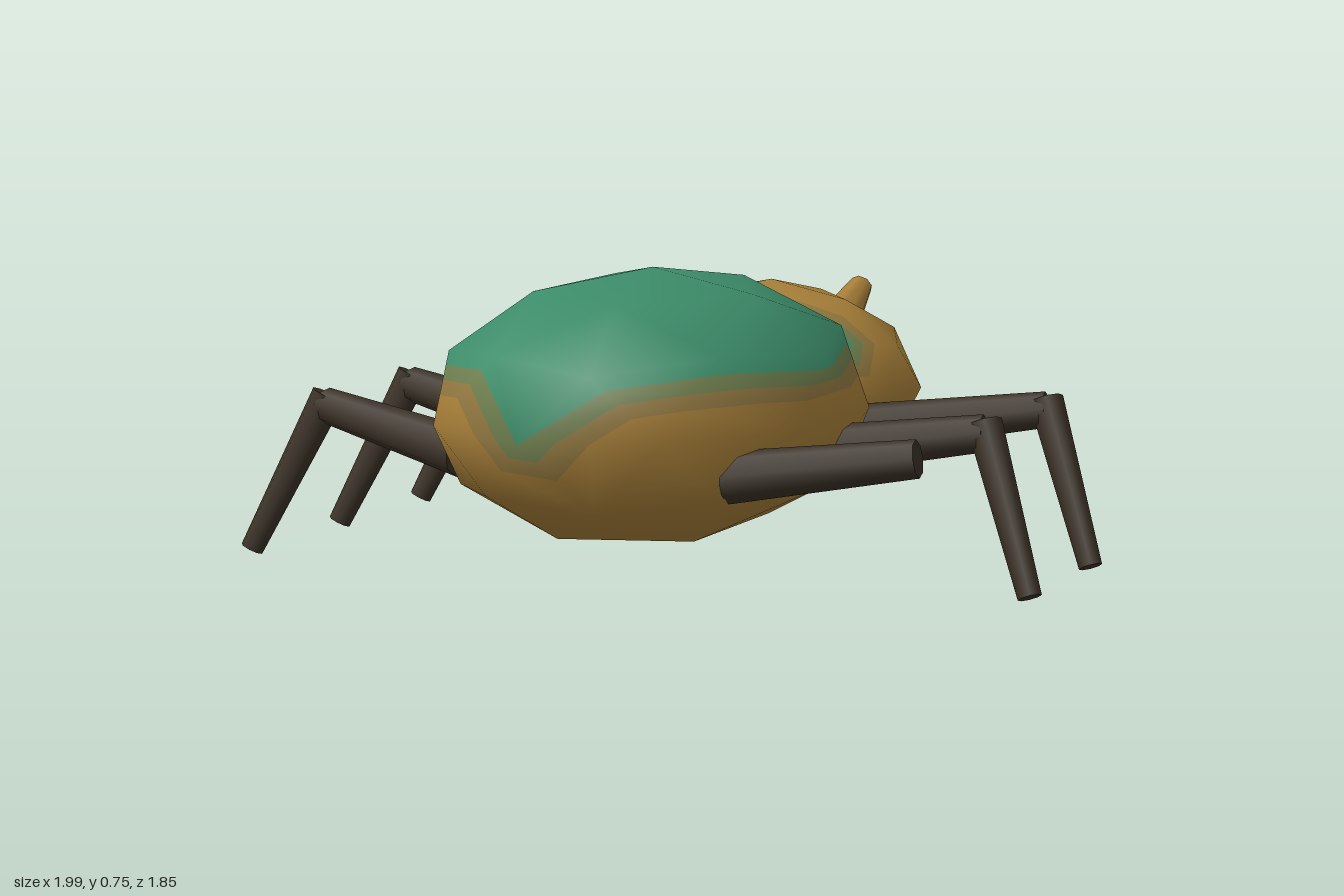
import * as THREE from 'three';

const V = (x, y, z) => new THREE.Vector3(x, y, z);
const material = (name, color) => {
  const m = new THREE.MeshStandardMaterial({ color });
  m.name = name;
  return m;
};

// Keep the part of a polygon whose shade lies above (sign 1) or below (sign -1) a limit
function clip(poly, limit, sign) {
  const out = [];
  poly.forEach((a, i) => {
    const b = poly[(i + 1) % poly.length];
    const da = sign * (a.g - limit), db = sign * (b.g - limit);
    if (da >= 0) out.push(a);
    if (da * db < 0) {
      const t = da / (da - db);
      out.push({ p: a.p.clone().lerp(b.p, t), n: a.n.clone().lerp(b.n, t).normalize(), g: a.g + (b.g - a.g) * t });
    }
  });
  return out;
}

// Low-poly ellipsoid cut into colour bands; shade(direction) gives 0..1 at each corner
function shell(name, center, radii, shade, bands) {
  const group = new THREE.Group();
  group.name = name;
  const geo = new THREE.IcosahedronGeometry(1, 1);
  geo.rotateZ(-Math.atan(2 / (1 + Math.sqrt(5)))); // a corner at the top
  const pos = geo.attributes.position;
  const corners = [];
  for (let i = 0; i < pos.count; i++) {
    const d = V(0, 0, 0).fromBufferAttribute(pos, i).normalize();
    corners.push({ p: d.clone().multiply(radii).add(center), n: d.clone().divide(radii).normalize(), g: shade(d) });
  }
  for (const { low, high, mat } of bands) {
    const p = [], n = [];
    for (let i = 0; i < corners.length; i += 3) {
      const poly = clip(clip(corners.slice(i, i + 3), low, 1), high, -1);
      for (let k = 1; k < poly.length - 1; k++) {
        for (const c of [poly[0], poly[k], poly[k + 1]]) {
          p.push(...c.p.toArray());
          n.push(...c.n.toArray());
        }
      }
    }
    if (!p.length) continue;
    const band = new THREE.BufferGeometry();
    band.setAttribute('position', new THREE.Float32BufferAttribute(p, 3));
    band.setAttribute('normal', new THREE.Float32BufferAttribute(n, 3));
    const mesh = new THREE.Mesh(band, mat);
    mesh.name = `${name} ${mat.name}`;
    group.add(mesh);
  }
  return group;
}

// Tapered rod between two points
function rod(name, a, b, ra, rb, mat) {
  const dir = b.clone().sub(a);
  const mesh = new THREE.Mesh(new THREE.CylinderGeometry(rb, ra, dir.length(), 8), mat);
  mesh.name = name;
  mesh.position.copy(a).add(b).multiplyScalar(0.5);
  mesh.quaternion.setFromUnitVectors(V(0, 1, 0), dir.normalize());
  return mesh;
}

export function createModel() {
  const model = new THREE.Group();
  model.name = 'beetle';
  const gold = material('gold shell', 0xa67e38);
  const green = material('green wing case', 0x3c8c69);
  const olive = material('olive edge', 0x6c7c4c);
  const brown = material('tan edge', 0x8f763f);
  const dark = material('dark leg', 0x3a3025);
  const bands = [
    { low: 0.8, high: 2, mat: green },
    { low: 0.6, high: 0.8, mat: olive },
    { low: 0.4, high: 0.6, mat: brown },
    { low: -1, high: 0.4, mat: gold },
  ];

  // Abdomen: green back, gold belly with one faint spot
  model.add(shell('abdomen', V(0, 0.408, 0.28), V(0.515, 0.337, 0.645), (d) => {
    if (d.y < -0.99) return 0.62;
    if (d.z > 0.99) return 0.81;
    if (d.z < -0.8 && d.x > 0.2 && d.y > 0.4 && d.y < 0.5) return 0;
    return d.y > 0.3 ? 1 : 0;
  }, bands));

  // Head: gold with a green collar next to the abdomen
  model.add(shell('head', V(0, 0.373, -0.36), V(0.405, 0.272, 0.325), (d) => {
    if (d.y < 0.1) return 0;
    if (d.y > 0.8 && d.y < 0.9) {
      if (d.z > 0.45) return 0.7;
      return d.z > 0.25 ? 0.85 : 0;
    }
    return d.z > 0.4 ? 1 : 0;
  }, bands));

  // Horn
  model.add(rod('horn', V(0, 0.37, -0.59), V(0, 0.567, -0.912), 0.092, 0.032, gold));

  // Three pairs of legs; the last one on the left has no shin
  ['front', 'middle', 'rear'].forEach((row, i) => {
    for (const s of [-1, 1]) {
      const z = i * 0.39;
      const leg = new THREE.Group();
      leg.name = `${row} ${s > 0 ? 'left' : 'right'} leg`;
      leg.add(rod('thigh', V(s * 0.36, 0.305, -0.197 + z), V(s * 0.81, 0.375, -0.275 + z), 0.062, 0.045, dark));
      if (!(row === 'rear' && s > 0)) {
        leg.add(rod('shin', V(s * 0.805, 0.4, -0.28 + z), V(s * 0.972, 0.012, -0.173 + z), 0.043, 0.029, dark));
      }
      model.add(leg);
    }
  });
  return model;
}
